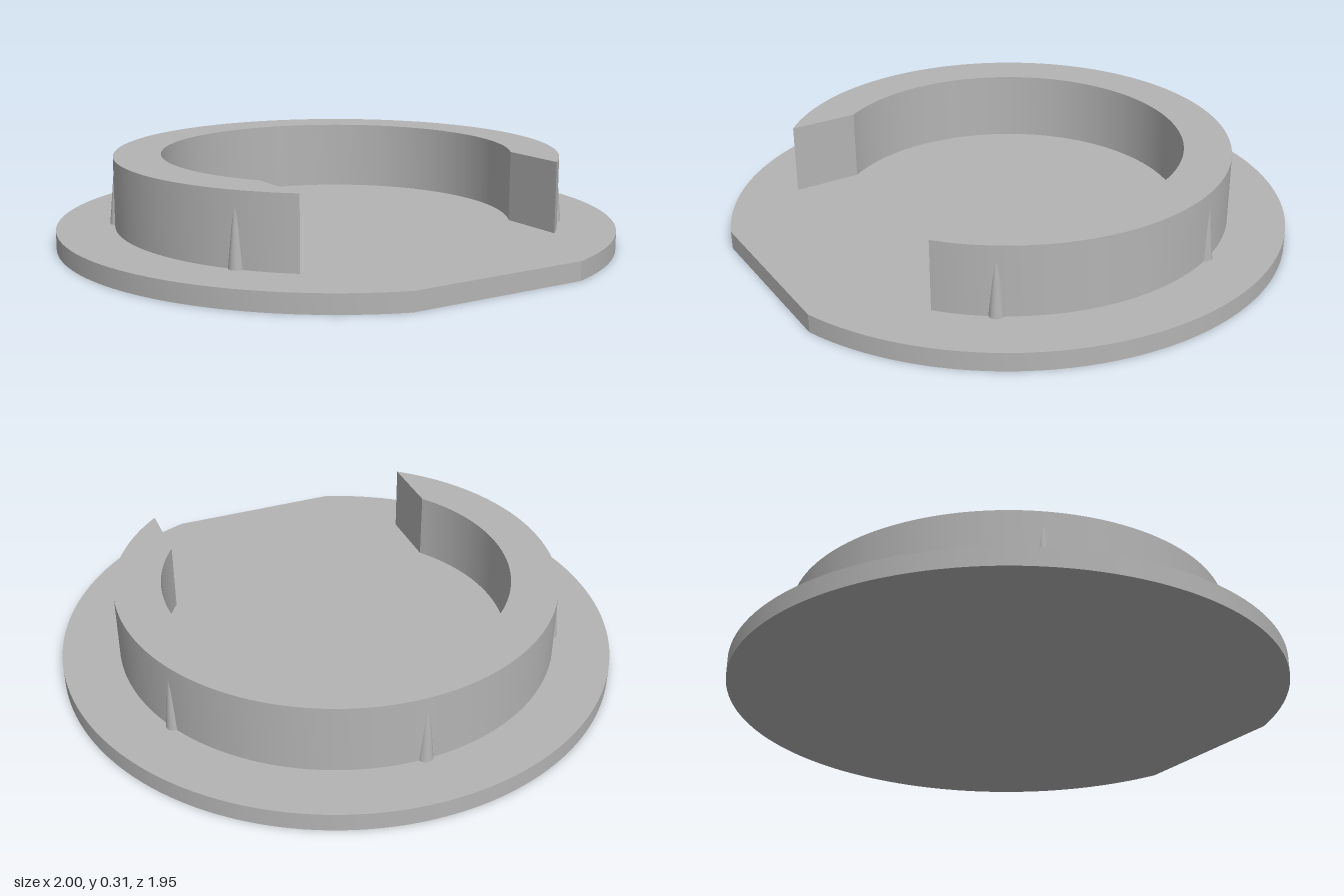
import * as THREE from 'three';
import { toCreasedNormals } from 'three/addons/utils/BufferGeometryUtils.js';

const CENTER_Z = 0.027;
const PLATE_TOP = 0.065;
const RING_TOP = 0.315;

export function createModel() {
  const model = new THREE.Group();
  model.name = 'cap';
  const grey = new THREE.MeshStandardMaterial({ color: 0xb4b4b4 });
  grey.name = 'plain grey';

  const add = (name, geometry) => {
    const mesh = new THREE.Mesh(geometry, grey);
    mesh.name = name;
    model.add(mesh);
    return mesh;
  };

  // Extrude a plan shape (front is -y in the plan) upwards from y0 to y1
  const raise = (shape, y0, y1) => {
    const g = new THREE.ExtrudeGeometry(shape, { depth: y1 - y0, bevelEnabled: false, curveSegments: 64 });
    g.rotateX(-Math.PI / 2).translate(0, y0, CENTER_Z);
    return toCreasedNormals(g, 0.3);
  };

  // Angles at which an arc of radius r meets the lines x = +-half at the front
  const ends = (r, half) => {
    const a = Math.asin(half / r);
    return [-Math.PI / 2 + a, Math.PI * 1.5 - a];
  };

  // Round base plate with one flat edge at the front
  const plate = new THREE.Shape();
  plate.absarc(0, 0, 1, ...ends(1, 0.325), false);
  add('basePlate', raise(plate, 0, PLATE_TOP));

  // Open ring, its gap cut straight at x = +-0.51
  const outer = 0.795, inner = 0.627, gap = 0.51;
  const ring = new THREE.Shape();
  const [o0, o1] = ends(outer, gap);
  const [i0, i1] = ends(inner, gap);
  ring.absarc(0, 0, outer, o0, o1, false);
  ring.absarc(0, 0, inner, i1, i0, true);
  add('openRing', raise(ring, PLATE_TOP, RING_TOP));

  // Tapered grip ribs half sunk into the outer wall, angles from the back
  const height = RING_TOP - PLATE_TOP - 0.005;
  const ribGeometry = new THREE.CylinderGeometry(0.004, 0.027, height, 20);
  for (const degrees of [-125, -65, 0, 65, 125]) {
    const a = THREE.MathUtils.degToRad(degrees);
    const rib = add('gripRib', ribGeometry);
    rib.position.set(Math.sin(a) * 0.786, PLATE_TOP + height / 2, CENTER_Z - Math.cos(a) * 0.786);
  }
  return model;
}
